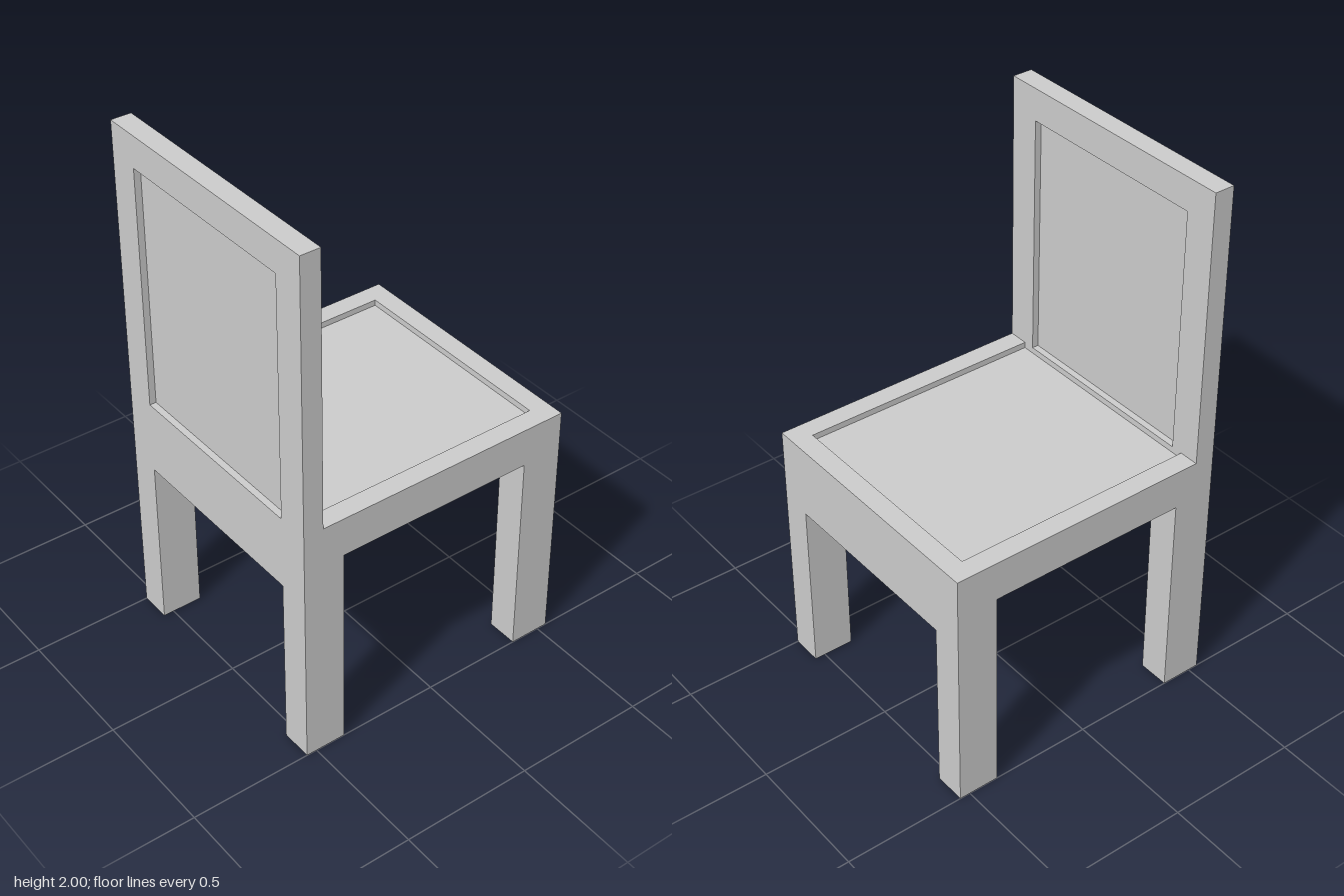
import * as THREE from 'three';

const material = new THREE.MeshStandardMaterial({ color: 0xcccccc, side: THREE.DoubleSide });

// Main levels and outlines
const HALF_X = 0.54, HALF_Z = 0.5;
const APRON_Y = 0.68, RAIL_Y = 0.81, SEAT_Y = 0.96, TOP_Y = 2;
const LEG_X = 0.157, LEG_Z = 0.12, BACK_T = 0.076, RIM = 0.076;

export function createModel() {
  const chair = new THREE.Group();
  chair.name = 'chair';

  const add = (name, geometry) => {
    const mesh = new THREE.Mesh(geometry, material);
    mesh.name = name;
    chair.add(mesh);
    return mesh;
  };

  // Box given by its lowest and highest corner
  const box = (x0, y0, z0, x1, y1, z1) =>
    new THREE.BoxGeometry(x1 - x0, y1 - y0, z1 - z0)
      .translate((x0 + x1) / 2, (y0 + y1) / 2, (z0 + z1) / 2);

  const polygon = (points) => points.map(([x, y]) => new THREE.Vector2(x, y));
  const rectangle = (x0, y0, x1, y1) => polygon([[x0, y0], [x1, y0], [x1, y1], [x0, y1]]);

  // Hollow legs, open at the foot
  for (const sx of [-1, 1]) {
    for (const sz of [-1, 1]) {
      const leg = new THREE.BoxGeometry(LEG_X, RAIL_Y, LEG_Z);
      const faces = Array.from(leg.index.array);
      faces.splice(18, 6); // drop the bottom face
      leg.setIndex(faces);
      leg.clearGroups();
      leg.translate(sx * (HALF_X - LEG_X / 2), RAIL_Y / 2, sz * (HALF_Z - LEG_Z / 2));
      add((sx > 0 ? 'front' : 'rear') + 'Leg', leg);
    }
  }

  // Deep aprons between the legs under the front and rear of the seat
  const apronZ = HALF_Z - LEG_Z;
  add('frontApron', box(HALF_X - LEG_X, APRON_Y, -apronZ, HALF_X, RAIL_Y, apronZ));
  add('rearApron', box(-HALF_X, APRON_Y, -apronZ, -HALF_X + LEG_X, RAIL_Y, apronZ));

  // Seat frame: rectangular ring around the panel
  const ring = new THREE.Shape(rectangle(-HALF_X, -HALF_Z, HALF_X, HALF_Z));
  const inX = HALF_X - RIM, inZ = HALF_Z - RIM;
  ring.holes.push(new THREE.Path(rectangle(-inX, -inZ, inX, inZ)));
  add('seatFrame', new THREE.ExtrudeGeometry(ring, { depth: SEAT_Y - RAIL_Y, bevelEnabled: false })
    .rotateX(-Math.PI / 2).translate(0, RAIL_Y, 0));

  // Seat panel, set slightly below the frame
  add('seatPanel', box(-inX, 0.915, -inZ, inX, 0.937, inZ));

  // Backrest frame: two posts joined by a top rail
  const postZ = HALF_Z - LEG_Z, railY = TOP_Y - LEG_Z;
  const arch = new THREE.Shape(polygon([
    [-HALF_Z, SEAT_Y], [-postZ, SEAT_Y], [-postZ, railY], [postZ, railY],
    [postZ, SEAT_Y], [HALF_Z, SEAT_Y], [HALF_Z, TOP_Y], [-HALF_Z, TOP_Y],
  ]));
  add('backrestFrame', new THREE.ExtrudeGeometry(arch, { depth: BACK_T, bevelEnabled: false })
    .rotateY(Math.PI / 2).translate(-HALF_X, 0, 0));

  // Backrest panel, recessed on both sides
  add('backrestPanel', box(-HALF_X + 0.025, SEAT_Y, -postZ, -HALF_X + BACK_T - 0.025, railY, postZ));

  return chair;
}
